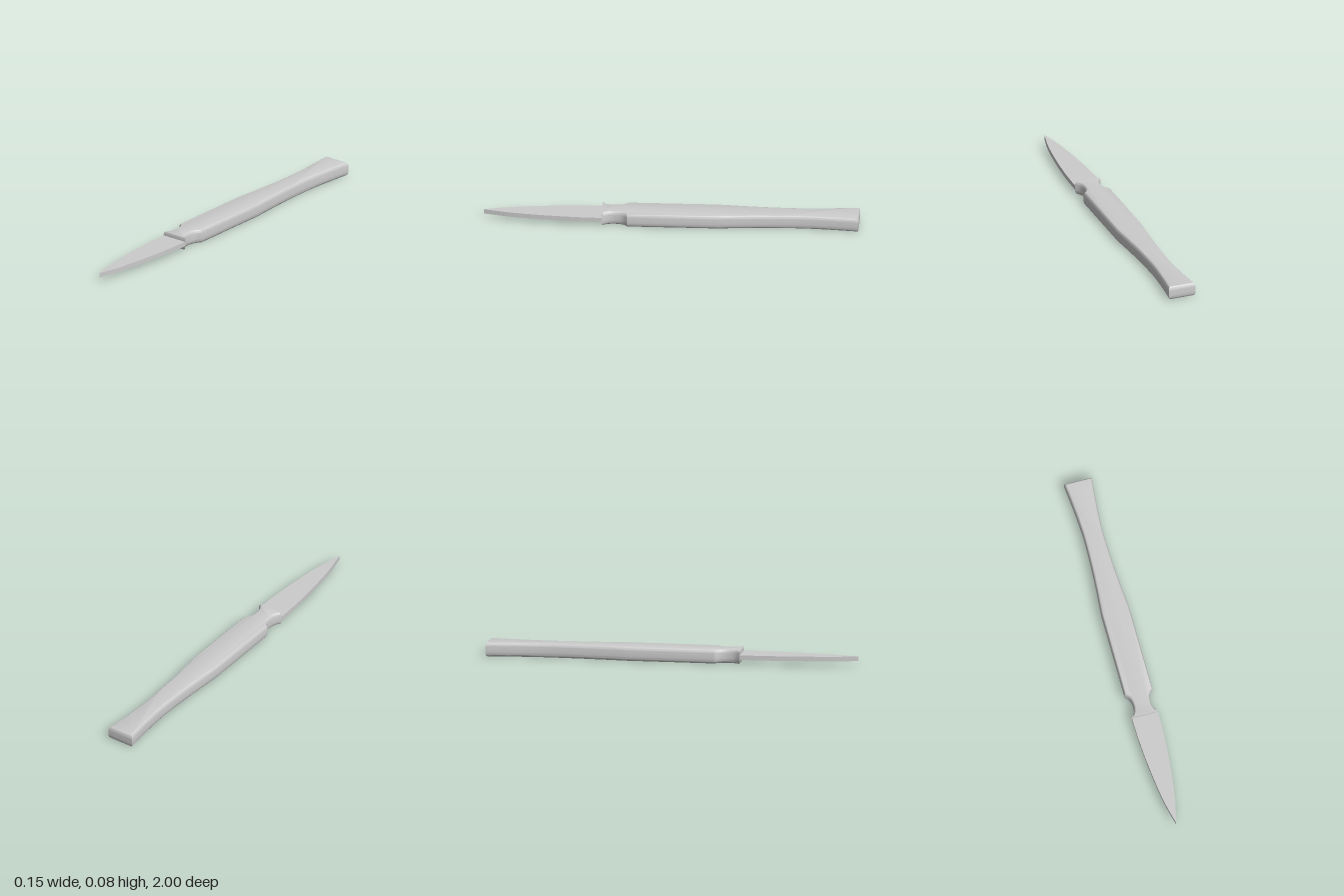
import * as THREE from 'three';
import { toCreasedNormals } from 'three/addons/utils/BufferGeometryUtils.js';

const material = new THREE.MeshStandardMaterial({ color: 0xcccccc });

// Mirrored outline from [halfWidth, z] pairs, given from back to front
function outline(side) {
  const right = side.map(([w, z]) => new THREE.Vector2(w, -z));
  const left = side.filter(([w]) => w > 0).map(([w, z]) => new THREE.Vector2(-w, -z)).reverse();
  return new THREE.Shape([...right, ...left]);
}

// Lay an outline flat and thicken it from y0 to y1
function slab(name, side, y0, y1, bevel, inset) {
  const geometry = new THREE.ExtrudeGeometry(outline(side), {
    depth: y1 - y0 - 2 * bevel,
    bevelEnabled: bevel > 0,
    bevelThickness: bevel,
    bevelSize: inset,
    bevelOffset: -inset,
    bevelSegments: 6,
  });
  geometry.rotateX(-Math.PI / 2).translate(0, y0 + bevel, 0);
  const mesh = new THREE.Mesh(toCreasedNormals(geometry, 0.6), material);
  mesh.name = name;
  return mesh;
}

// Smooth curve through a few [halfWidth, z] points
function smooth(points, n) {
  const curve = new THREE.SplineCurve(points.map(([w, z]) => new THREE.Vector2(w, z)));
  return curve.getPoints(n).map((p) => [p.x, p.y]);
}

export function createModel() {
  const group = new THREE.Group();
  group.name = 'knife';

  // Handle: flared butt, slim waist, straight grip and a finger notch
  const handleSide = [
    ...smooth([[0.077, -1], [0.067, -0.9], [0.059, -0.8], [0.054, -0.68],
      [0.058, -0.52], [0.066, -0.38], [0.077, -0.24]], 24),
    ...smooth([[0.077, 0.235], [0.056, 0.26], [0.048, 0.3], [0.054, 0.34], [0.074, 0.37]], 14),
  ];
  group.add(slab('handle', handleSide, 0, 0.075, 0.025, 0.012));

  // Blade: thin flat leaf running to a point
  const bladeSide = smooth([[0.072, 0.366], [0.069, 0.5], [0.058, 0.65],
    [0.041, 0.8], [0.024, 0.9], [0, 1]], 12);
  group.add(slab('blade', bladeSide, 0.025, 0.05, 0, 0));

  return group;
}
